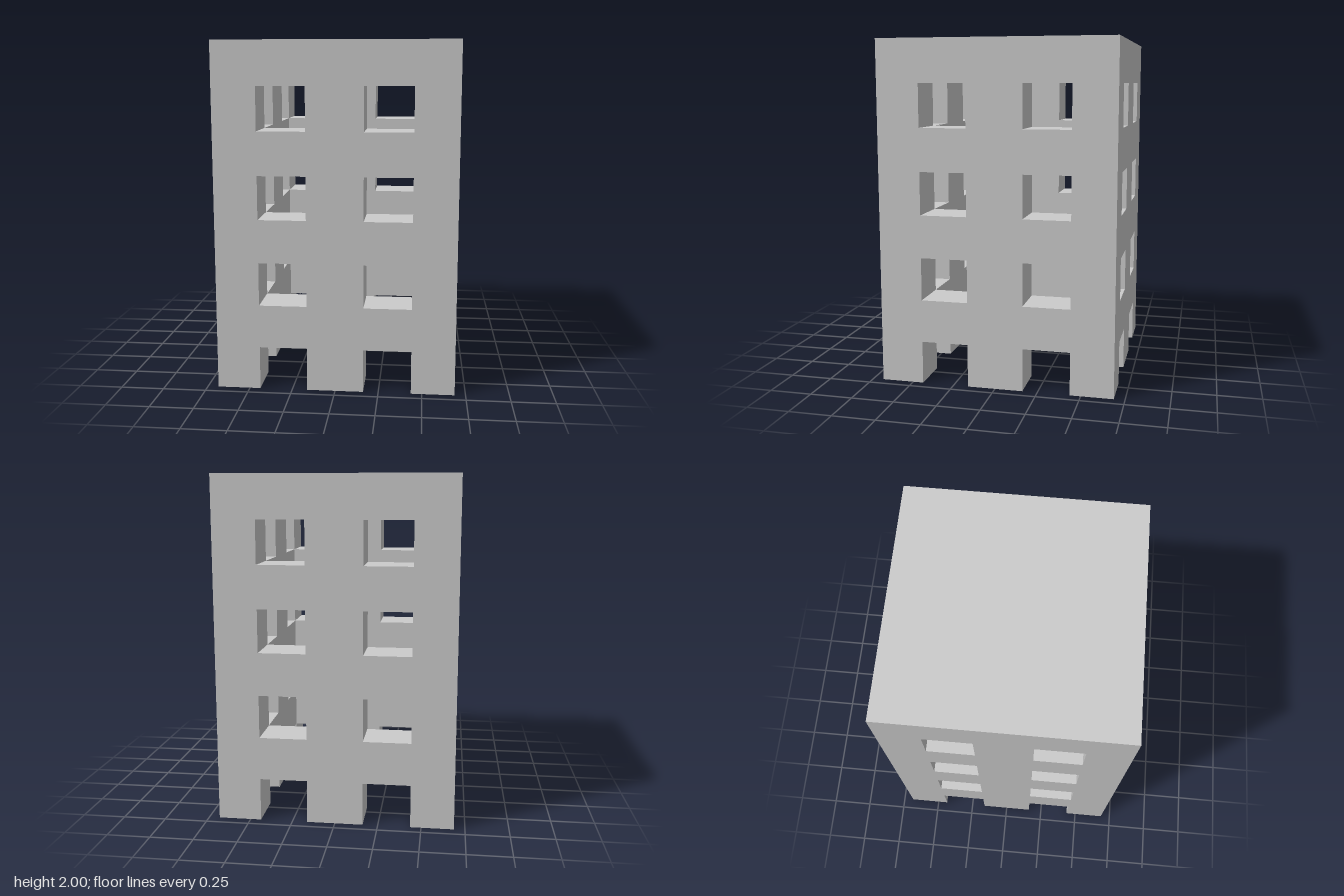
import * as THREE from 'three';

const H = 0.6875;       // half width of the tower
const T = 0.25;         // wall thickness, opening height and spandrel height
const IN = H - T;       // outer edge of the openings, flush with the hollow core
const PIER = 0.1625;    // half width of the middle pier
const TOP = 1.75;       // underside of the roof slab

export function createModel() {
  const tower = new THREE.Group();
  tower.name = 'tower';
  const material = new THREE.MeshStandardMaterial({ color: 0xcccccc, flatShading: true });

  const add = (name, geometry, x, y, z) => {
    const mesh = new THREE.Mesh(geometry, material);
    mesh.name = name;
    mesh.position.set(x, y, z);
    tower.add(mesh);
  };

  // Front and back walls: door notches at the ground, two windows per upper storey
  const outline = [
    [-H, 0], [-IN, 0], [-IN, T], [-PIER, T], [-PIER, 0],
    [PIER, 0], [PIER, T], [IN, T], [IN, 0], [H, 0], [H, TOP], [-H, TOP],
  ].map(([x, y]) => new THREE.Vector2(x, y));
  const wall = new THREE.Shape(outline);
  for (const y of [0.5, 1, 1.5]) {
    for (const x of [-IN, PIER]) {
      const w = IN - PIER;
      wall.holes.push(new THREE.Path([
        new THREE.Vector2(x, y), new THREE.Vector2(x, y + T),
        new THREE.Vector2(x + w, y + T), new THREE.Vector2(x + w, y),
      ]));
    }
  }
  const wallGeometry = new THREE.ExtrudeGeometry(wall, { depth: T, bevelEnabled: false });
  add('frontWall', wallGeometry, 0, 0, IN);
  add('backWall', wallGeometry, 0, 0, -H);

  // Side walls: spandrel bands between the corner posts, with pier pieces between them
  for (const side of [1, -1]) {
    const name = side > 0 ? 'left' : 'right';
    const x = side * (H - T / 2);
    for (let floor = 0; floor < 4; floor++) {
      const y = floor * 0.5;
      add(name + 'Pier', new THREE.BoxGeometry(T, T, 2 * PIER), x, y + T / 2, 0);
      if (floor < 3) add(name + 'Spandrel', new THREE.BoxGeometry(T, T, 2 * IN), x, y + T * 1.5, 0);
    }
  }

  // Solid roof slab closing the hollow core
  add('roof', new THREE.BoxGeometry(2 * H, T, 2 * H), 0, TOP + T / 2, 0);

  return tower;
}
